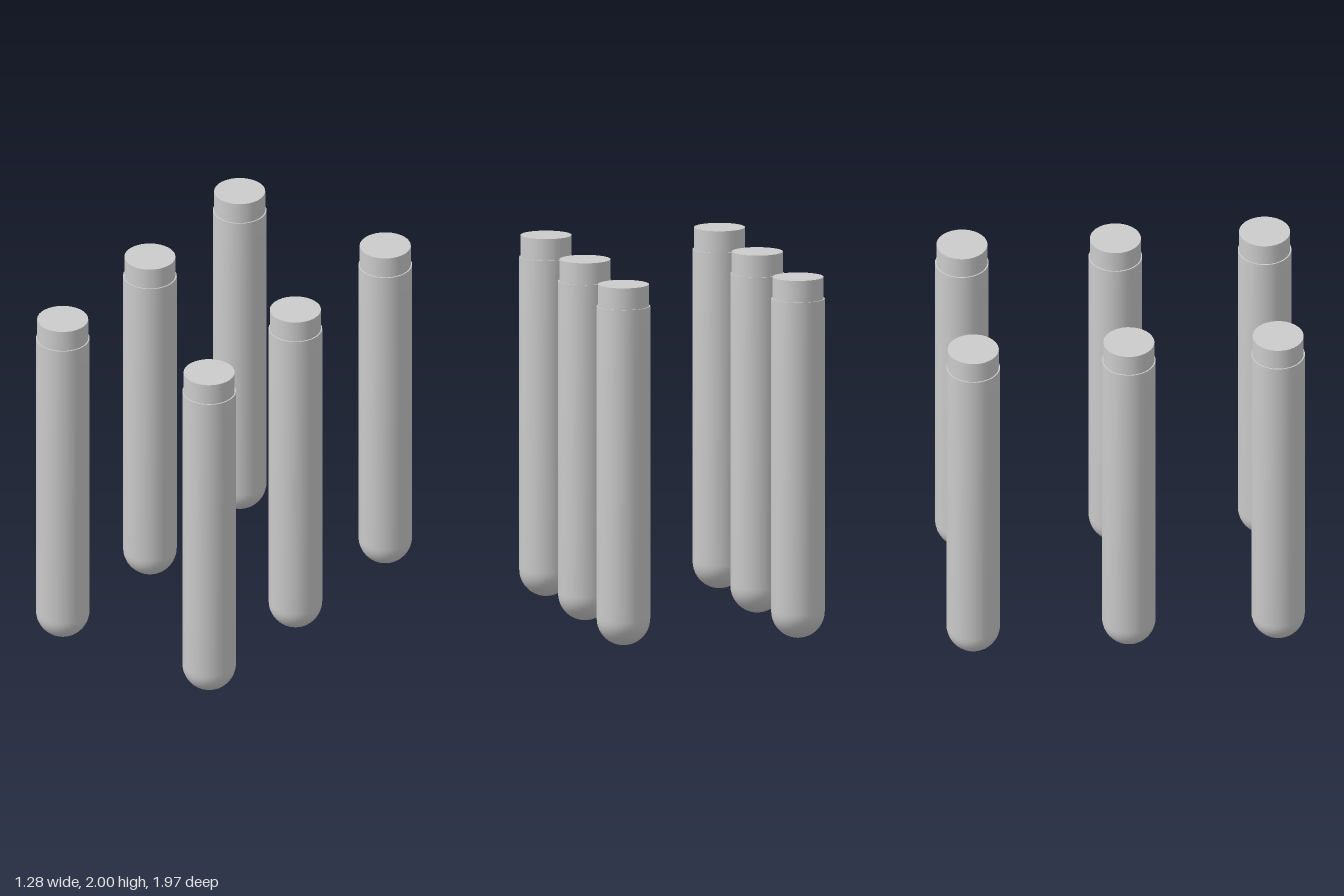
import * as THREE from 'three';
import { toCreasedNormals } from 'three/addons/utils/BufferGeometryUtils.js';

const SIDES = 32;
const BODY_RADIUS = 0.147;
const NECK_RADIUS = 0.14;
const SHOULDER_Y = 1.88;
const TOP_Y = 2;

// Round-bottomed tube, closed by a narrow flat shoulder
function bodyGeometry() {
  const profile = [];
  const steps = 10;
  for (let i = 0; i <= steps; i++) {
    const a = (i / steps) * Math.PI / 2;
    profile.push(new THREE.Vector2(BODY_RADIUS * Math.sin(a), BODY_RADIUS * (1 - Math.cos(a))));
  }
  profile.push(new THREE.Vector2(BODY_RADIUS, SHOULDER_Y));
  profile.push(new THREE.Vector2(NECK_RADIUS, SHOULDER_Y));
  return toCreasedNormals(new THREE.LatheGeometry(profile, SIDES), Math.PI / 5);
}

// Slightly narrower neck with a flat top
function neckGeometry() {
  const height = TOP_Y - SHOULDER_Y;
  const geometry = new THREE.CylinderGeometry(NECK_RADIUS, NECK_RADIUS, height, SIDES);
  return geometry.translate(0, SHOULDER_Y + height / 2, 0);
}

export function createModel() {
  const model = new THREE.Group();
  model.name = 'tubeSet';
  const material = new THREE.MeshStandardMaterial({ color: 0xcccccc });
  const body = bodyGeometry();
  const neck = neckGeometry();

  // Two slightly uneven rows of three tubes
  const places = [
    ['backRightTube', -0.494, -0.838],
    ['backLeftTube', 0.49, -0.826],
    ['middleRightTube', -0.491, 0.015],
    ['middleLeftTube', 0.484, 0.015],
    ['frontRightTube', -0.495, 0.833],
    ['frontLeftTube', 0.486, 0.833],
  ];
  for (const [name, x, z] of places) {
    const tube = new THREE.Group();
    tube.name = name;
    const bodyMesh = new THREE.Mesh(body, material);
    bodyMesh.name = 'body';
    const neckMesh = new THREE.Mesh(neck, material);
    neckMesh.name = 'neck';
    tube.add(bodyMesh, neckMesh);
    tube.position.set(x, 0, z);
    model.add(tube);
  }
  return model;
}
